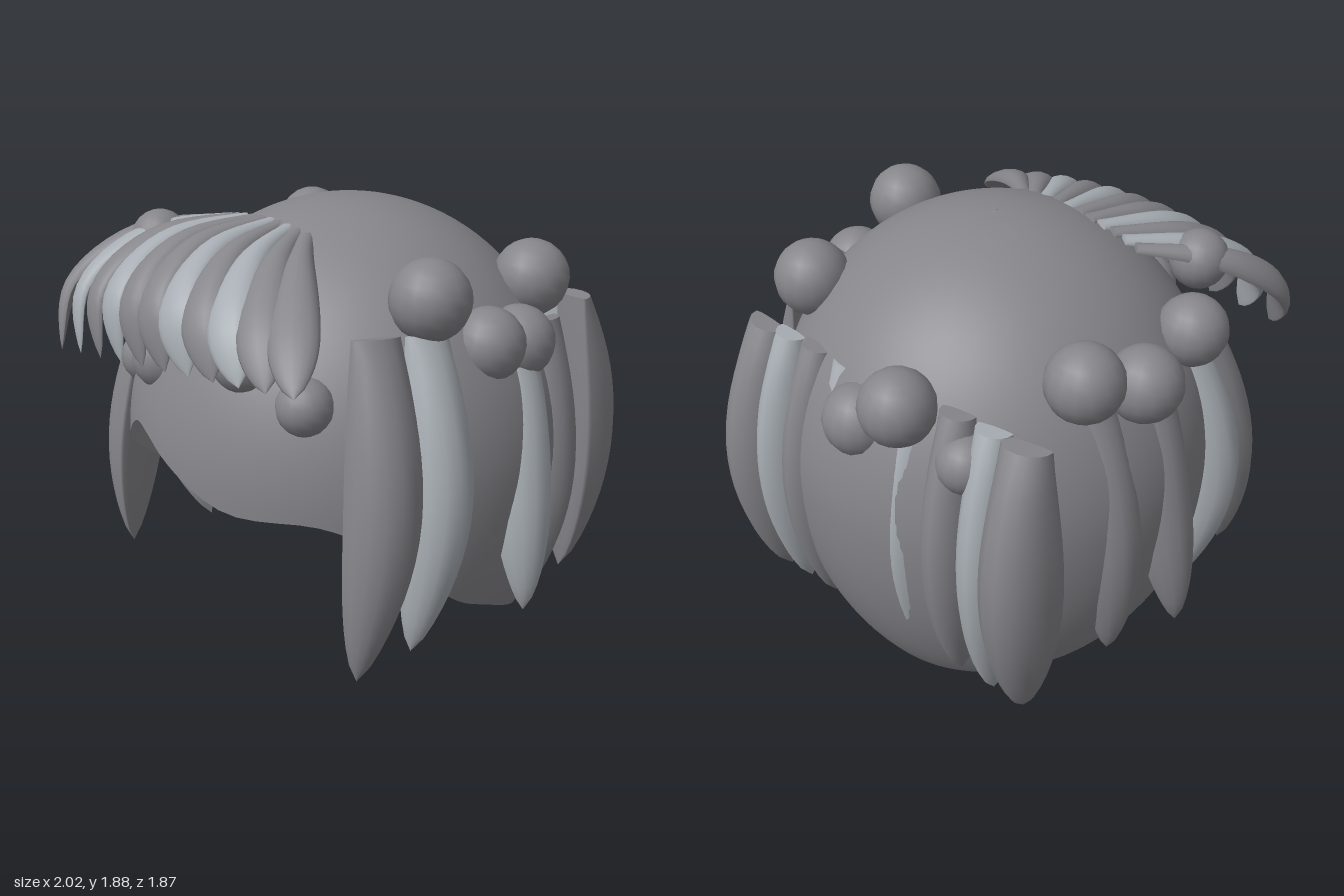
import * as THREE from 'three';
import { ParametricGeometry } from 'three/addons/geometries/ParametricGeometry.js';

const V = (p) => new THREE.Vector3(...p);
const dark = new THREE.MeshStandardMaterial({ color: 0x85858a });
const light = new THREE.MeshStandardMaterial({ color: 0xa6acb2 });
const shell = new THREE.MeshStandardMaterial({ color: 0x85858a, side: THREE.DoubleSide });
const CENTRE_Y = 0.9, RADIUS = 0.925;

// Hem of the cap: [azimuth in degrees from the front, height]
const hem = new THREE.SplineCurve([
  [180, 0.0], [168, 0.01], [154, 0.04], [135, 0.1], [111, 0.22], [90, 0.37], [78, 0.46], [66, 0.62],
  [55, 0.77], [41, 0.86], [19, 0.86], [0, 0.97], [-11, 1.04], [-20, 1.04], [-33, 0.89], [-55, 0.66],
  [-72, 0.5], [-90, 0.37], [-111, 0.22], [-135, 0.1], [-154, 0.04], [-168, 0.01], [-180, 0.0],
].map(([a, y]) => new THREE.Vector2(a, y)));

// Rounded cap, stretched downward below its widest line and cut at the hem
function capGeometry() {
  return new ParametricGeometry((u, v, target) => {
    const h = hem.getPoint(u);
    const a = THREE.MathUtils.degToRad(h.x);
    const dy = h.y - CENTRE_Y;
    const phi = Math.max(0.002, v * Math.acos(dy / (dy > 0 ? 0.98 : 1.28)));
    const c = Math.cos(phi), r = RADIUS * Math.sin(phi);
    target.set(r * Math.sin(a), CENTRE_Y + c * (c > 0 ? 0.98 : 1.28), r * Math.cos(a));
  }, 96, 40);
}

// Pointed lock of hair swept along a curve: nearly flat inside, bulging outside.
// "out" is the direction the bulge faces; without it the lock follows the cap.
// "root" sets how wide the lock starts, "late" how near the tip it is widest.
function lockGeometry(points, width, depth, root, late, out) {
  const curve = new THREE.CatmullRomCurve3(points.map(V));
  const steps = 18, sides = 16, pos = [], index = [];
  const swell = (start, t) => Math.pow(Math.max(0, Math.sin(Math.PI * (start + (1 - start) * t))), 0.7);
  for (let i = 0; i <= steps; i++) {
    const t = i / steps;
    const p = curve.getPoint(t), T = curve.getTangent(t);
    const ref = out ? V(out) : p.clone().sub(V([0, CENTRE_Y, 0]));
    const S = ref.cross(T).normalize();
    const O = T.clone().cross(S);
    const w = width * swell(root, Math.pow(t, late)), d = depth * swell(0.06, t);
    for (let j = 0; j < sides; j++) {
      const a = (j / sides) * Math.PI * 2, s = Math.sin(a);
      const q = p.clone().addScaledVector(S, w * Math.cos(a)).addScaledVector(O, d * s * (s > 0 ? 1 : 0.15));
      pos.push(q.x, q.y, q.z);
    }
  }
  for (let i = 0; i < steps; i++) {
    for (let j = 0; j < sides; j++) {
      const a = i * sides + j, b = i * sides + ((j + 1) % sides);
      index.push(a, b, a + sides, b, b + sides, a + sides);
    }
  }
  // Flat root
  const cap = pos.length / 3;
  pos.push(...pos.slice(0, sides * 3));
  for (let j = 1; j < sides - 1; j++) index.push(cap, cap + j + 1, cap + j);
  const g = new THREE.BufferGeometry();
  g.setAttribute('position', new THREE.Float32BufferAttribute(pos, 3));
  g.setIndex(index);
  g.computeVertexNormals();
  return g;
}

function add(parent, name, geometry, material) {
  const m = new THREE.Mesh(geometry, material);
  m.name = name;
  parent.add(m);
  return m;
}

function section(parent, name) {
  const g = new THREE.Group();
  g.name = name;
  parent.add(g);
  return g;
}

export function createModel() {
  const model = new THREE.Group();
  model.name = 'hair';
  add(model, 'cap', capGeometry(), shell);

  // Fringe swept from a parting near the crown, fanning from one side to the other
  const fringe = section(model, 'fringe');
  const from = [[-0.46, 1.75, 0.28], [-0.72, 1.66, 0.55], [-0.82, 1.47, 0.8], [-0.75, 1.24, 0.93]];
  const to = [[0.13, 1.79, 0.33], [0.33, 1.7, 0.53], [0.55, 1.56, 0.73], [0.71, 1.43, 0.86]];
  for (let i = 0; i <= 10; i++) {
    const u = i / 10, bow = 4 * u * (1 - u);
    const path = from.map((p, k) => {
      const q = V(p).lerp(V(to[k]), u);
      if (k === 0) q.y += 0.03 * bow;
      if (k === 1 || k === 2) q.add(V([0, 0.035 * bow, 0.08 * bow]));
      return q.toArray();
    });
    add(fringe, 'fringeLock', lockGeometry(path, 0.095, 0.06, 0.07, 1.7), [1, 3, 6, 8].includes(i) ? light : dark);
  }

  // Long side locks: root, middle, tip, half width, depth, material
  const sides = section(model, 'sideLocks');
  [
    [[0.65, 1.54, 0.44], [0.76, 0.9, 0.51], [0.78, 0.26, 0.64], 0.155, 0.16, dark],
    [[0.69, 1.52, 0.23], [0.8, 0.9, 0.29], [0.84, 0.33, 0.42], 0.145, 0.17, light],
    [[0.78, 1.34, -0.2], [0.84, 0.8, -0.13], [0.96, 0.37, -0.08], 0.135, 0.15, light],
    [[0.7, 1.45, -0.41], [0.74, 0.8, -0.37], [0.76, 0.26, -0.29], 0.14, 0.16, dark],
    [[-0.68, 1.42, 0.46], [-0.75, 0.8, 0.56], [-0.79, 0.23, 0.63], 0.14, 0.17, dark],
    [[-0.74, 1.4, 0.31], [-0.82, 0.8, 0.32], [-0.78, 0.23, 0.2], 0.135, 0.165, light],
    [[-0.77, 1.42, -0.03], [-0.83, 0.8, -0.02], [-0.97, 0.31, -0.02], 0.13, 0.16, dark],
    [[-0.7, 1.42, -0.28], [-0.76, 0.8, -0.27], [-0.79, 0.21, -0.25], 0.13, 0.16, dark],
  ].forEach(([a, b, c, w, d, mat]) =>
    add(sides, 'sideLock', lockGeometry([a, b, c], w, d, 0.18, 1.2, [Math.sign(a[0]), 0, a[2] * 0.5]), mat));

  // Straight row of locks across the back, the outer ones wider and fuller
  const back = section(model, 'backLocks');
  [-0.71, -0.56, -0.39, -0.21, -0.02, 0.16, 0.34, 0.49, 0.62].forEach((x, i) => {
    const outer = i % 8 === 0;
    const path = [[x * 0.97, 1.47, -0.68], [x, 0.85, -0.7], [x, 0.2, -0.71]];
    add(back, 'backLock', lockGeometry(path, outer ? 0.155 : 0.115, outer ? 0.24 : 0.205, 0.18, 1.3, [x * 0.2, 0, -1]),
      i % 2 ? light : dark);
  });

  // Round curls ringing the head: x, y, z, radius
  const curls = section(model, 'curls');
  [
    [0.68, 1.64, 0.2, 0.155], [0.74, 1.43, -0.05, 0.145], [0.73, 1.4, -0.23, 0.145],
    [0.58, 1.58, -0.46, 0.155],
    [-0.17, 1.45, -0.78, 0.15], [0.03, 1.31, -0.78, 0.145], [-0.45, 1.3, -0.73, 0.115],
    [-0.72, 1.59, -0.4, 0.15], [-0.8, 1.48, -0.13, 0.15], [-0.75, 1.5, 0.27, 0.145],
    [-0.62, 1.67, 0.5, 0.12],
    [-0.5, 1.22, 0.67, 0.11], [-0.23, 1.31, 0.76, 0.13], [0.25, 1.42, 0.72, 0.13],
    [0.51, 1.29, 0.65, 0.11],
  ].forEach(([x, y, z, r]) =>
    add(curls, 'curl', new THREE.SphereGeometry(r, 16, 12), dark).position.set(x, y, z));

  return model;
}
